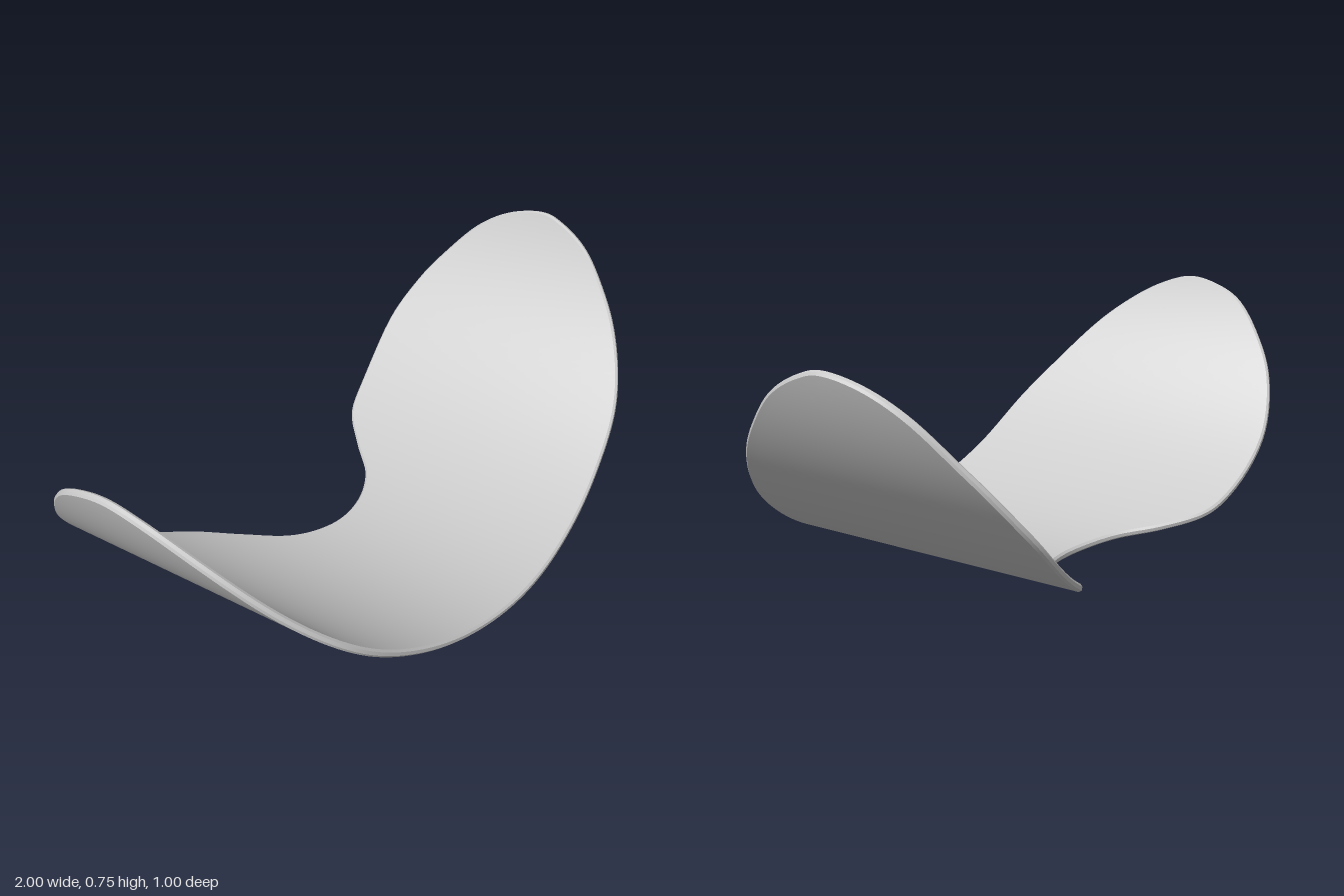
import * as THREE from 'three';
import { toCreasedNormals } from 'three/addons/utils/BufferGeometryUtils.js';

const R = 1.06;          // outer radius of the curved shell
const THICK = 0.022;
const EDGE = 0.006;      // rounding of the rim
const TILT = 0.055;      // the front lies slightly higher than the back

// Flat outline as (angle around the curve, z): front edge right to left...
const front = [
  [1.215, -0.07], [1.196, 0], [1.14, 0.1], [1.04, 0.2], [0.91, 0.3], [0.71, 0.4], [0.48, 0.452], [0.237, 0.486], [0, 0.5],
  [-0.25, 0.486], [-0.5, 0.452], [-0.745, 0.4], [-0.94, 0.3], [-1.075, 0.2], [-1.165, 0.1], [-1.228, 0],
];
// ...and back edge left to right, with the notch in the middle
const back = [
  [-1.265, -0.11], [-1.25, -0.21], [-1.205, -0.3], [-1.065, -0.41], [-0.95, -0.465], [-0.75, -0.504], [-0.5, -0.477],
  [-0.4, -0.44], [-0.295, -0.34], [-0.2, -0.235], [-0.103, -0.185], [-0.008, -0.169], [0.09, -0.185], [0.185, -0.235],
  [0.28, -0.34], [0.385, -0.44], [0.49, -0.475], [0.75, -0.504], [0.91, -0.458], [1.008, -0.4], [1.127, -0.3], [1.192, -0.19],
];

// Wrap a flat point onto the cylinder, at a given depth below the outer face
function wrap(p, depth) {
  const r = R - depth, a = p.x / R;
  return [r * Math.sin(a), R - r * Math.cos(a) + TILT * (p.y + 0.17), p.y];
}

function shellGeometry(rows = 140, cols = 24) {
  const pts = [...front, ...back].map(([a, z]) => new THREE.Vector3(a * R, z, 0));
  const outline = new THREE.CatmullRomCurve3(pts, true);
  const split = front.length / pts.length;
  const inset = (u) => {
    const t = outline.getTangent(u);
    return outline.getPoint(u).add(new THREE.Vector3(-t.y, t.x, 0).multiplyScalar(EDGE));
  };
  const pos = [], idx = [];
  let ring = 0;
  for (let i = 0; i <= rows; i++) {
    const t = i / rows;
    const uf = split * t, ub = (1 - (1 - split) * t) % 1;
    const f = outline.getPoint(uf), b = outline.getPoint(ub);
    const fi = inset(uf), bi = inset(ub);
    // closed section: front rim, upper face, back rim, lower face
    const loop = [wrap(f, THICK - EDGE)];
    for (let j = 0; j <= cols; j++) loop.push(wrap(fi.clone().lerp(bi, j / cols), THICK));
    loop.push(wrap(b, THICK - EDGE), wrap(b, EDGE));
    for (let j = cols; j >= 0; j--) loop.push(wrap(fi.clone().lerp(bi, j / cols), 0));
    loop.push(wrap(f, EDGE));
    ring = loop.length;
    pos.push(...loop.flat());
  }
  for (let i = 0; i < rows; i++) {
    for (let j = 0; j < ring; j++) {
      const a = i * ring + j, b = i * ring + (j + 1) % ring;
      idx.push(a, b, a + ring, b, b + ring, a + ring);
    }
  }
  const g = new THREE.BufferGeometry();
  g.setAttribute('position', new THREE.Float32BufferAttribute(pos, 3));
  g.setIndex(idx);
  // centre it and stand it on the ground
  g.computeBoundingBox();
  const { min, max } = g.boundingBox;
  g.translate(-(min.x + max.x) / 2, -min.y, -(min.z + max.z) / 2);
  return toCreasedNormals(g, 0.7);
}

export function createModel() {
  const group = new THREE.Group();
  group.name = 'curvedVisor';
  const shell = new THREE.Mesh(
    shellGeometry(),
    new THREE.MeshStandardMaterial({ color: 0xcccccc, side: THREE.DoubleSide }),
  );
  shell.name = 'visorShell';
  group.add(shell);
  return group;
}
